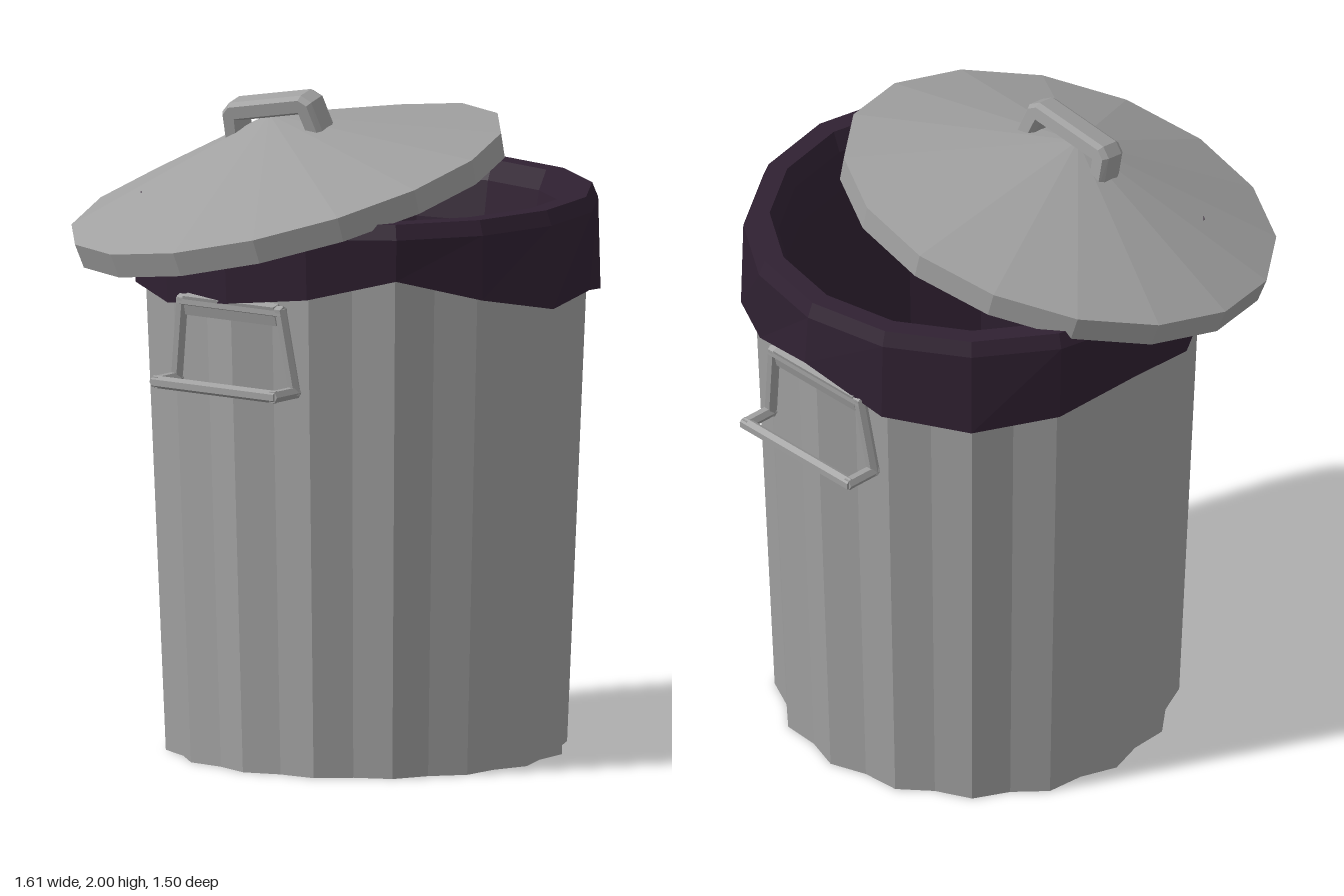
import * as THREE from 'three';

const steel = new THREE.MeshStandardMaterial({ color: 0xa0a0a0 });
steel.name = 'galvanised steel';
const plastic = new THREE.MeshStandardMaterial({ color: 0x302132, side: THREE.DoubleSide });
plastic.name = 'dark bin bag';

// Faceted surface through rings; each ring is a function j -> [radius, height]
function loft(rings, sides) {
  const pos = [];
  const point = (ring, j) => {
    const [r, y] = ring(j % sides);
    const a = (j % sides) * Math.PI * 2 / sides;
    return [r * Math.sin(a), y, r * Math.cos(a)];
  };
  for (let i = 0; i < rings.length - 1; i++) {
    for (let j = 0; j < sides; j++) {
      const a = point(rings[i], j), b = point(rings[i], j + 1);
      const c = point(rings[i + 1], j + 1), d = point(rings[i + 1], j);
      if (Math.hypot(a[0], a[2]) > 1e-6) pos.push(...a, ...b, ...c);
      if (Math.hypot(c[0], c[2]) > 1e-6) pos.push(...a, ...c, ...d);
    }
  }
  // A pole at the start still needs its fan
  if (rings[0](0)[0] === 0) {
    for (let j = 0; j < sides; j++) {
      pos.push(...point(rings[0], 0), ...point(rings[1], j + 1), ...point(rings[1], j));
    }
  }
  const geo = new THREE.BufferGeometry();
  geo.setAttribute('position', new THREE.Float32BufferAttribute(dropFlat(pos), 3));
  geo.computeVertexNormals();
  return geo;
}

// Removes triangles without area and repeats
function dropFlat(pos) {
  const out = [], seen = new Set();
  const t = new THREE.Triangle();
  for (let i = 0; i < pos.length; i += 9) {
    t.a.fromArray(pos, i); t.b.fromArray(pos, i + 3); t.c.fromArray(pos, i + 6);
    const m = t.getMidpoint(new THREE.Vector3()).toArray().map(v => v.toFixed(5)).join();
    if (t.getArea() < 1e-8 || seen.has(m)) continue;
    seen.add(m);
    out.push(...pos.slice(i, i + 9));
  }
  return out;
}

const round = (r, y) => () => [r, y];

function mesh(name, geo, mat) {
  const m = new THREE.Mesh(geo, mat);
  m.name = name;
  return m;
}

// Six-sided bar between two points
function bar(name, p, q, radius) {
  const a = new THREE.Vector3(...p), b = new THREE.Vector3(...q);
  const dir = b.clone().sub(a);
  const geo = new THREE.CylinderGeometry(radius, radius, dir.length() + radius, 6).toNonIndexed();
  geo.computeVertexNormals();
  const m = mesh(name, geo, steel);
  m.position.copy(a).add(b).multiplyScalar(0.5);
  m.quaternion.setFromUnitVectors(new THREE.Vector3(0, 1, 0), dir.normalize());
  return m;
}

// Fluted can with a recessed base
function makeBody() {
  const fluted = (r, y) => j => [j % 2 ? r * 0.955 : r, y];
  return mesh('canBody', loft([
    round(0, 0.03), round(0.43, 0.03), round(0.47, 0),
    fluted(0.6, 0), fluted(0.668, 1.62), round(0.62, 1.62),
  ], 32), steel);
}

// Bag folded over the rim with an uneven hem, lining the inside
function makeBag() {
  const hemY = [1.385, 1.40, 1.36, 1.41, 1.48, 1.39, 1.37, 1.385,
    1.43, 1.38, 1.41, 1.39, 1.42, 1.45, 1.51, 1.44];
  const hemR = [0.70, 0.685, 0.70, 0.69, 0.705, 0.70, 0.70, 0.68,
    0.675, 0.68, 0.69, 0.68, 0.68, 0.68, 0.685, 0.69];
  return mesh('binBag', loft([
    j => [hemR[j], hemY[j]], round(0.693, 1.635), round(0.675, 1.68),
    round(0.615, 1.68), round(0.59, 1.62), round(0.57, 1.5),
    round(0.5, 0.1), round(0, 0.1),
  ], 16), plastic);
}

// Bent wire handle for the +x side
function makeSideHandle() {
  const g = new THREE.Group();
  const r = 0.019, top = [0.655, 1.41], bend = [0.635, 1.17], out = [0.735, 1.17];
  for (const s of [-1, 1]) {
    g.add(bar('handleLeg', [...top, s * 0.185], [...bend, s * 0.22], r));
    g.add(bar('handleArm', [...bend, s * 0.22], [...out, s * 0.22], r));
  }
  g.add(bar('handleTopBar', [...top, -0.185], [...top, 0.185], r));
  g.add(bar('handleGrip', [...out, -0.22], [...out, 0.22], r));
  const clip = mesh('handleClip', new THREE.BoxGeometry(0.03, 0.06, 0.34), steel);
  clip.position.set(0.652, 1.4, 0);
  clip.rotation.z = -0.25;
  g.add(clip);
  return g;
}

// Tilted conical lid with a folded rim and a flat strap handle
function makeLid() {
  const lid = new THREE.Group();
  lid.name = 'lid';
  lid.add(mesh('lidShell', loft([
    round(0, 0.23), round(0.6, 0.045), round(0.61, 0), round(0.658, 0),
    round(0.666, 0.075), round(0, 0.28),
  ], 16), steel));

  const s = new THREE.Shape();
  [[-0.165, 0.2], [-0.15, 0.305], [-0.125, 0.325], [0.125, 0.325], [0.15, 0.305], [0.165, 0.2],
    [0.13, 0.2], [0.115, 0.288], [-0.115, 0.288], [-0.13, 0.2]]
    .forEach(([x, y], i) => (i ? s.lineTo(x, y) : s.moveTo(x, y)));
  const geo = new THREE.ExtrudeGeometry(s, {
    depth: 0.06, bevelEnabled: true, bevelSize: 0.01, bevelThickness: 0.018, bevelSegments: 1,
  });
  geo.translate(0, 0, -0.03).rotateY(Math.PI / 2).translate(0, 0, 0.02);
  lid.add(mesh('lidHandle', geo, steel));

  const normal = new THREE.Vector3(-0.217, 1, -0.16).normalize();
  lid.quaternion.setFromUnitVectors(new THREE.Vector3(0, 1, 0), normal);
  lid.rotateY(0.1);
  lid.position.set(-0.14, 1.645, -0.08);
  return lid;
}

export function createModel() {
  const model = new THREE.Group();
  model.name = 'trashCan';

  const can = new THREE.Group();
  can.name = 'can';
  can.position.set(0.05, 0, 0.05);
  can.add(makeBody(), makeBag());
  for (const side of ['left', 'right']) {
    const handle = makeSideHandle();
    handle.name = side + 'Handle';
    if (side === 'right') handle.rotation.y = Math.PI;
    can.add(handle);
  }
  model.add(can, makeLid());
  return model;
}
